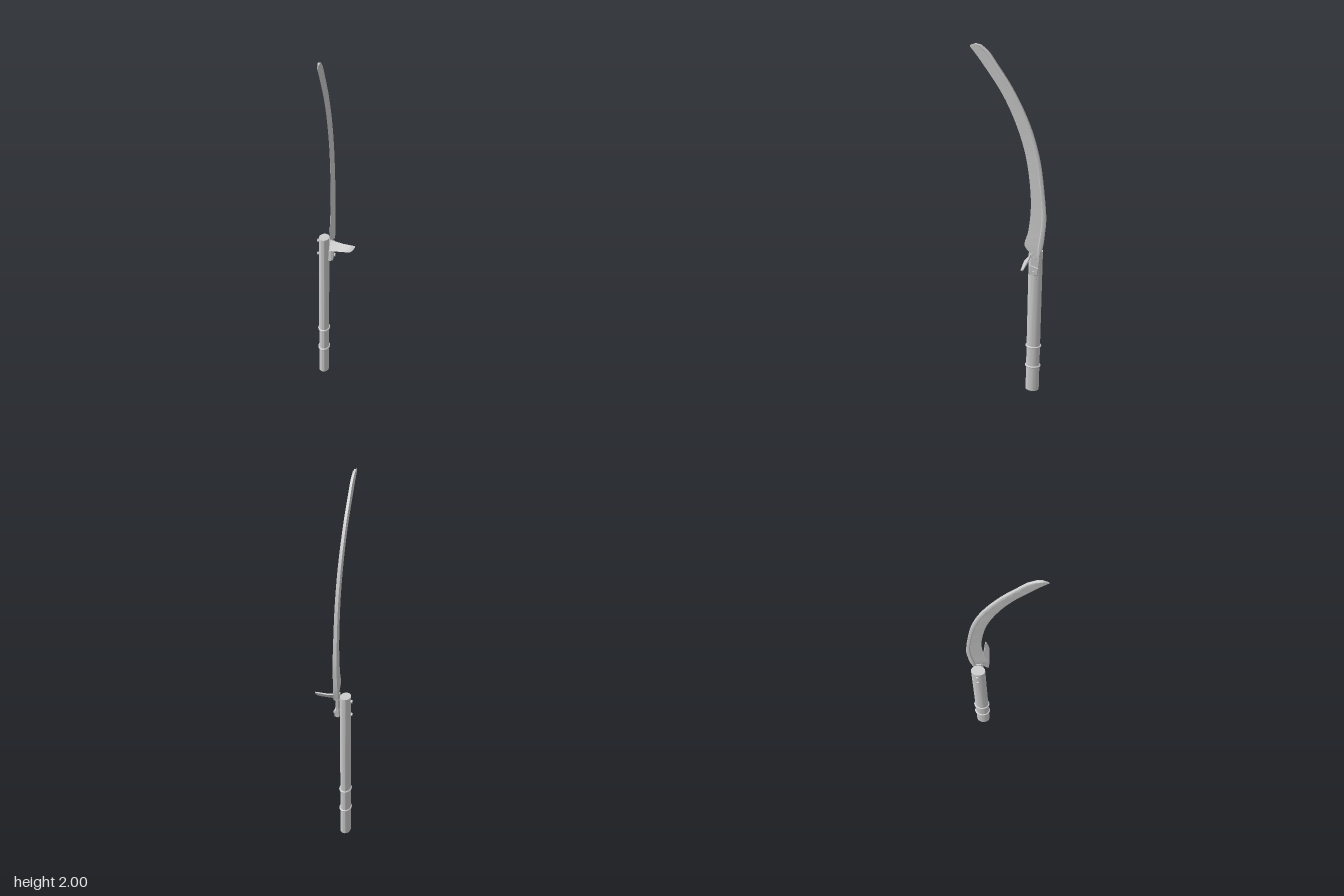
import * as THREE from 'three';
import { toCreasedNormals } from 'three/addons/utils/BufferGeometryUtils.js';

const mat = new THREE.MeshStandardMaterial({ color: 0xcccccc, side: THREE.DoubleSide });
const BLADE_X = -0.028, HANDLE_X = -0.069;
const handleZ = (y) => -0.127 - 0.011 * (y / 0.885); // the shaft leans slightly back

function add(group, name, geometry, x = 0, y = 0, z = 0) {
  const mesh = new THREE.Mesh(geometry, mat);
  mesh.name = name;
  mesh.position.set(x, y, z);
  group.add(mesh);
  return mesh;
}

// Skins closed sections, each a counter-clockwise loop seen along the path
function loft(sections) {
  const n = sections[0].length, index = [], last = (sections.length - 1) * n;
  for (let i = 0; i < sections.length - 1; i++) {
    for (let j = 0; j < n; j++) {
      const a = i * n + j, b = i * n + (j + 1) % n;
      index.push(a, b, b + n, a, b + n, a + n);
    }
  }
  for (let j = 1; j < n - 1; j++) {
    index.push(0, j + 1, j, last, last + j, last + j + 1);
  }
  const g = new THREE.BufferGeometry();
  g.setAttribute('position', new THREE.Float32BufferAttribute(sections.flat(2), 3));
  g.setIndex(index);
  g.computeVertexNormals();
  return toCreasedNormals(g, 0.45);
}

// Curved blade: [spine z, spine y, edge z, edge y], from root to tip
function bladeGeometry() {
  const rows = [
    [-0.168, 0.87, -0.122, 0.88], [-0.183, 0.93, -0.085, 0.93],
    [-0.192, 1.01, -0.103, 1.01], [-0.197, 1.09, -0.116, 1.14],
    [-0.186, 1.23, -0.111, 1.27], [-0.16, 1.42, -0.086, 1.44],
    [-0.108, 1.60, -0.037, 1.60], [-0.022, 1.78, 0.032, 1.75],
    [0.056, 1.90, 0.116, 1.878], [0.10, 1.963, 0.163, 1.943],
    [0.138, 1.994, 0.196, 1.984],
  ];
  const curve = (k) => new THREE.CatmullRomCurve3(
    rows.map((r) => new THREE.Vector3(0, r[k + 1], r[k])), false, 'centripetal');
  const spine = curve(0), edge = curve(2), steps = 50;
  const sections = [];
  const pushSection = (s, e, h) => {
    // thick rib along the spine, then a wedge down to the cutting edge
    const profile = [[0.8 * h, 0], [-0.8 * h, 0], [-h, 0.07], [-h, 0.2],
      [-0.68 * h, 0.26], [-0.0008, 1], [0.0008, 1], [0.68 * h, 0.26], [h, 0.2], [h, 0.07]];
    sections.push(profile.map(([x, u]) => {
      const p = s.clone().lerp(e, u);
      return [BLADE_X + x, p.y, p.z];
    }));
  };
  for (let i = 0; i <= steps; i++) {
    const t = i / steps;
    pushSection(spine.getPoint(t), edge.getPoint(t), 0.007 + 0.008 * Math.pow(1 - t, 1.3));
  }
  // blunt rounded tip
  pushSection(new THREE.Vector3(0, 2, 0.165), new THREE.Vector3(0, 1.992, 0.192), 0.005);
  return loft(sections);
}

// Thumb tab: a tilted tongue sticking out to the left of the blade
function tabGeometry() {
  // [x, back z, back y, front z, front y, thickness]
  const rows = [
    [-0.03, -0.12, 0.884, -0.083, 0.836, 0.009], [0.0, -0.118, 0.878, -0.083, 0.836, 0.008],
    [0.04, -0.115, 0.87, -0.085, 0.836, 0.007], [0.079, -0.112, 0.868, -0.087, 0.836, 0.006],
    [0.095, -0.111, 0.867, -0.096, 0.843, 0.005], [0.106, -0.11, 0.866, -0.106, 0.858, 0.004],
  ];
  return loft(rows.map(([x, bz, by, fz, fy, t]) => [
    [x, by, bz], [x, fy, fz], [x, fy - t * 0.5, fz - t], [x, by - t, bz - t * 0.5],
  ].reverse()));
}

// Bracket cheek in the side plane, extruded across x
function bracketGeometry(points, width) {
  const shape = new THREE.Shape(points.map(([z, y]) => new THREE.Vector2(-z, y)));
  const g = new THREE.ExtrudeGeometry(shape, {
    depth: width - 0.004, bevelThickness: 0.002, bevelSize: 0.002, bevelOffset: -0.002, bevelSegments: 1,
  });
  g.translate(0, 0, -(width - 0.004) / 2);
  return g.rotateY(Math.PI / 2);
}

export function createModel() {
  const model = new THREE.Group();
  model.name = 'bladeOnShaft';

  add(model, 'blade', bladeGeometry());
  add(model, 'thumbTab', tabGeometry());

  // Oval shaft
  const shaft = new THREE.CylinderGeometry(0.028, 0.028, 0.885, 32, 8);
  shaft.scale(1, 1, 1.36).translate(0, 0.4425, 0);
  const p = shaft.attributes.position;
  for (let i = 0; i < p.count; i++) p.setZ(i, p.getZ(i) + handleZ(p.getY(i)));
  shaft.computeVertexNormals();
  add(model, 'shaft', toCreasedNormals(shaft, 0.7), HANDLE_X);

  // Two raised bands
  for (const y of [0.16, 0.29]) {
    const band = new THREE.TorusGeometry(0.0285, 0.0055, 10, 40).rotateX(Math.PI / 2);
    add(model, 'band', band.scale(1, 1, 1.33), HANDLE_X, y, handleZ(y));
  }

  // Tang running down the side of the shaft, with a wider foot plate
  add(model, 'tang', bracketGeometry([
    [-0.122, 0.895], [-0.172, 0.895], [-0.164, 0.83], [-0.158, 0.762], [-0.108, 0.757], [-0.116, 0.82],
  ], 0.016), BLADE_X - 0.003);
  add(model, 'footPlate', bracketGeometry([
    [-0.116, 0.82], [-0.162, 0.805], [-0.158, 0.764], [-0.11, 0.76],
  ], 0.026), BLADE_X);

  // Bolts through shaft and tang, with heads on the ends
  for (const [y, z, right, left] of [[0.86, -0.14, -0.106, -0.012], [0.78, -0.138, -0.106, -0.008]]) {
    const bolt = new THREE.CylinderGeometry(0.005, 0.005, left - right, 12).rotateZ(Math.PI / 2);
    add(model, 'bolt', bolt, (left + right) / 2, y, z);
    for (const x of [right + 0.003, left - 0.002]) {
      add(model, 'boltHead', new THREE.CylinderGeometry(0.009, 0.009, 0.007, 12).rotateZ(Math.PI / 2), x, y, z);
    }
  }
  return model;
}
